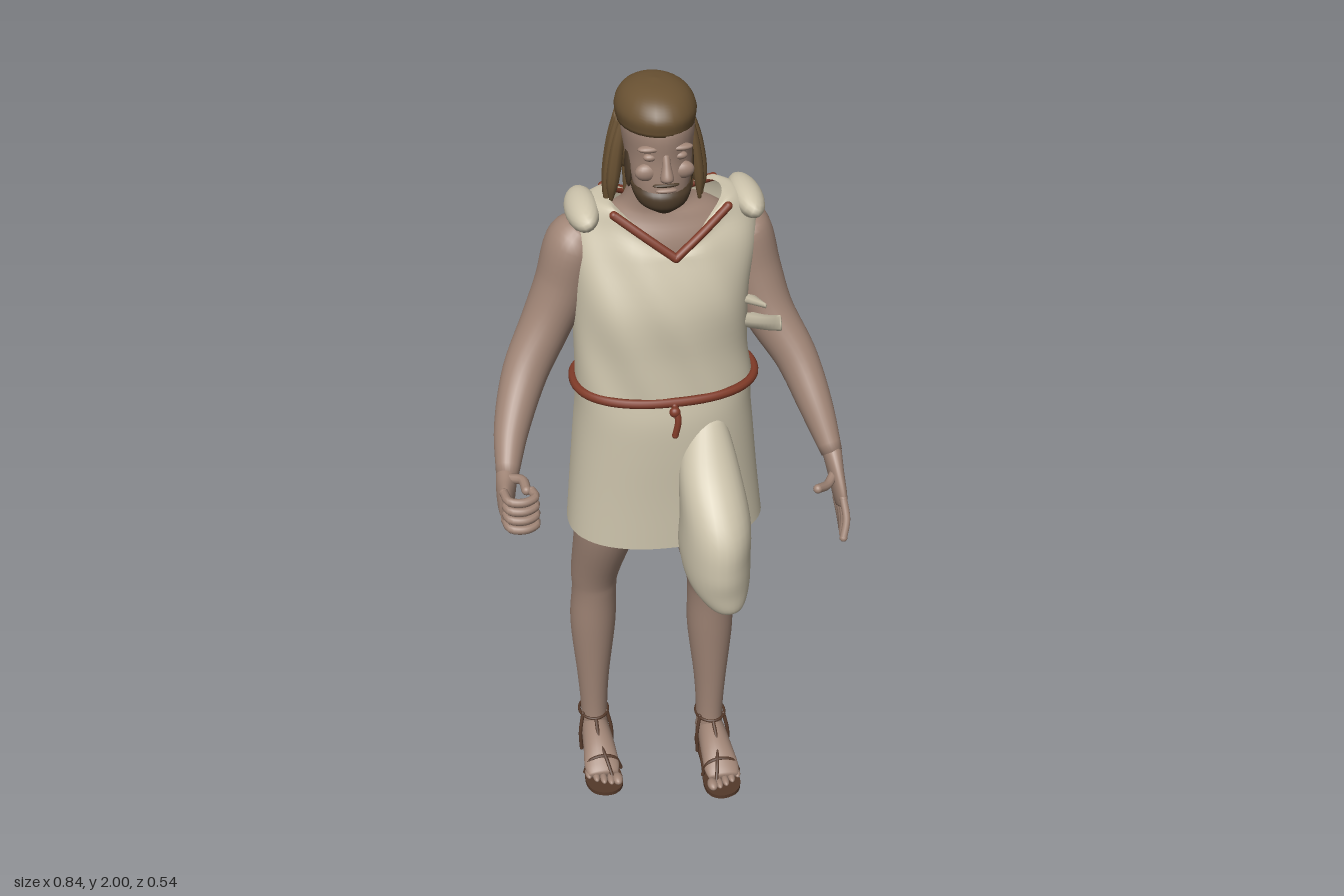
import * as THREE from 'three';

const V = (a) => new THREE.Vector3(a[0], a[1], a[2]);
const mat = (name, color, side = THREE.FrontSide) => {
  const m = new THREE.MeshStandardMaterial({ color, side });
  m.name = name;
  return m;
};

// Smooth skin through rows of [x, y, z, radiusU, radiusV]; flat keeps every ring horizontal.
function sweep(rows, { flat = false, open = false, n = 2, seg = 28, sub = 5, edit = null } = {}) {
  const path = new THREE.CatmullRomCurve3(rows.map(V), false, 'catmullrom', 0.5);
  const radii = new THREE.CatmullRomCurve3(rows.map((r) => new THREE.Vector3(r[3], r[4], 0)), false, 'catmullrom', 0.5);
  const count = (rows.length - 1) * sub, pos = [], idx = [];
  const pw = (c) => Math.sign(c) * Math.abs(c) ** (2 / n);
  for (let i = 0; i <= count; i++) {
    const c = path.getPoint(i / count), r = radii.getPoint(i / count);
    const t = path.getTangent(i / count);
    if (flat) t.set(0, Math.sign(t.y) || 1, 0);
    const u = new THREE.Vector3(1, 0, 0).addScaledVector(t, -t.x).normalize();
    const v = new THREE.Vector3().crossVectors(t, u);
    for (let j = 0; j < seg; j++) {
      const a = (j / seg) * Math.PI * 2;
      const p = c.clone().addScaledVector(u, pw(Math.cos(a)) * Math.max(r.x, 0.001))
        .addScaledVector(v, pw(Math.sin(a)) * Math.max(r.y, 0.001));
      if (edit) edit(p);
      pos.push(p.x, p.y, p.z);
      if (i < count) {
        const k = (j + 1) % seg, b = i * seg;
        idx.push(b + j, b + k, b + seg + j, b + k, b + seg + k, b + seg + j);
      }
    }
  }
  if (!open) {
    const s = pos.length / 3, a = rows[0], z = rows[rows.length - 1], b = count * seg;
    pos.push(a[0], a[1], a[2], z[0], z[1], z[2]);
    for (let j = 0; j < seg; j++) {
      const k = (j + 1) % seg;
      idx.push(s, k, j, s + 1, b + j, b + k);
    }
  }
  const g = new THREE.BufferGeometry();
  g.setAttribute('position', new THREE.Float32BufferAttribute(pos, 3));
  g.setIndex(idx);
  g.computeVertexNormals();
  return g;
}

export function createModel() {
  const root = new THREE.Group();
  const skin = mat('skin', 0xa08576), cloth = mat('cloth', 0xcfc6ae, THREE.DoubleSide);
  const hair = mat('hair', 0x6a5233), beardMat = mat('beard', 0x4d3c2a);
  const trim = mat('trim', 0x803b28), leather = mat('leather', 0x54392a);

  const add = (name, geo, m, parent = root) => {
    const mesh = new THREE.Mesh(geo, m);
    mesh.name = name;
    parent.add(mesh);
    return mesh;
  };
  const group = (name) => {
    const g = new THREE.Group();
    g.name = name;
    root.add(g);
    return g;
  };
  const ball = (name, p, s, m, parent) => {
    const b = add(name, new THREE.SphereGeometry(1, 18, 12), m, parent);
    b.position.set(...p);
    b.scale.set(...s);
    return b;
  };
  // Rounded cord or finger through a few points
  const cord = (name, pts, r, m, parent, closed = false) => {
    add(name, new THREE.TubeGeometry(new THREE.CatmullRomCurve3(pts.map(V), closed), closed ? 72 : 14, r, 10, closed), m, parent);
    if (!closed) for (const p of [pts[0], pts[pts.length - 1]]) ball(name + 'End', p, [r, r, r], m, parent);
  };

  // Neck and upper chest
  add('neckAndChest', sweep([[.02, 1.5, -.1, .17, .11], [.025, 1.62, -.1, .18, .1], [.02, 1.68, -.1, .13, .08],
    [0, 1.715, -.085, .075, .06], [0, 1.78, -.07, .058, .058], [0, 1.84, -.07, .058, .058]], { flat: true }), skin);

  // Head, face and beard
  const head = group('head');
  add('skull', sweep([[0, 1.735, .015, .028, .03], [0, 1.76, 0, .054, .05], [0, 1.8, -.02, .066, .072],
    [0, 1.85, -.05, .075, .1], [0, 1.92, -.06, .08, .112], [0, 1.97, -.06, .05, .07]], { flat: true }), skin, head);
  add('beard', sweep([[0, 1.728, .018, .02, .022], [0, 1.745, .006, .052, .05], [0, 1.768, -.003, .065, .061],
    [0, 1.785, -.022, .068, .07]], { flat: true }), beardMat, head);
  add('nose', sweep([[0, 1.872, .043, .008, .008], [0, 1.845, .052, .01, .012], [0, 1.82, .058, .015, .017],
    [0, 1.81, .054, .012, .01]], { flat: true }), skin, head);
  ball('mouth', [0, 1.787, .05], [.024, .006, .009], skin, head);
  ball('moustache', [0, 1.799, .047], [.03, .005, .009], beardMat, head);
  for (const s of [-1, 1]) {
    ball('brow', [s * .034, 1.882, .037], [.027, .008, .014], skin, head);
    ball('eye', [s * .033, 1.862, .036], [.016, .009, .011], skin, head);
    ball('cheek', [s * .04, 1.825, .03], [.026, .02, .016], skin, head);
    ball('sideburn', [s * .069, 1.815, -.035], [.008, .05, .024], beardMat, head);
  }

  // Hair: cap with straight fringe, back mass and hanging locks
  const hairGroup = group('hair');
  add('hairCap', sweep([[-.003, 1.912, -.063, .085, .116], [-.003, 1.945, -.065, .089, .121], [-.003, 1.975, -.067, .074, .1],
    [-.003, 1.993, -.067, .044, .06], [-.003, 2, -.067, .005, .005]], { flat: true }), hair, hairGroup);
  add('hairBack', sweep([[0, 1.78, -.125, .075, .045], [0, 1.83, -.115, .086, .065], [0, 1.93, -.105, .086, .08]],
    { flat: true }), hair, hairGroup);
  for (let i = 0; i < 17; i++) {
    const a = (-.14 + 1.28 * i / 16) * Math.PI, c = Math.cos(a), s = Math.sin(a);
    const low = 1.70 + .018 * Math.sin(i * 2.4), r = .012 + .003 * Math.sin(i * 1.7);
    add('lock', sweep([[c * .08, 1.91, -.105 - s * .07, .008, .008], [c * .096, 1.84, -.105 - s * .073, r, r],
      [c * .108, 1.76, -.105 - s * .07, r, r], [c * .112, low, -.108 - s * .068, .004, .004]], { seg: 8 }), hair, hairGroup);
  }

  // Sleeveless tunic top, its neckline drawn down to a V in front and behind
  const tunic = group('tunic');
  const neckline = (p) => {
    const w = Math.max(0, (p.y - 1.6) / .115), k = w * Math.max(0, 1 - Math.abs(p.x - .025) / .13);
    const front = p.z > -.105;
    p.y -= (front ? .1 : .08) * k;
    p.z += front ? .045 * k : -.03 * k;
    p.z += .004 * Math.sin(p.x * 45 + p.y * 22);
  };
  add('tunicTop', sweep([[.018, 1.25, -.078, .212, .142], [.01, 1.35, -.08, .205, .142], [.012, 1.48, -.085, .208, .147],
    [.022, 1.6, -.105, .217, .132], [.025, 1.67, -.115, .207, .11], [.025, 1.708, -.11, .17, .1], [.025, 1.715, -.105, .13, .09]],
  { flat: true, open: true, n: 2.3, seg: 64, edit: neckline }), cloth, tunic);
  add('skirt', sweep([[.018, 1.26, -.078, .212, .142], [.018, 1.19, -.09, .212, .163], [.02, 1.1, -.1, .22, .172],
    [.022, .96, -.105, .233, .17], [.025, .83, -.107, .246, .168]], { flat: true, open: true, n: 2.3, seg: 64 }), cloth, tunic);
  add('billowingFold', sweep([[.1, 1.2, .02, .04, .035], [.1, 1.08, .06, .07, .07], [.11, .95, .1, .083, .125],
    [.11, .85, .1, .085, .14], [.115, .78, .13, .075, .1], [.125, .73, .17, .045, .05], [.13, .71, .18, .015, .012]],
  { flat: true }), cloth, tunic);
  // Loose cloth points by the left armhole
  add('loosePoint', sweep([[.215, 1.39, -.05, .03, .02], [.232, 1.435, .05, .016, .018], [.243, 1.485, .145, .003, .018]], { seg: 8 }), cloth, tunic);
  add('loosePoint', sweep([[.205, 1.45, -.05, .025, .012], [.225, 1.49, .07, .004, .006]], { seg: 8 }), cloth, tunic);
  for (const [x, s] of [[-.165, -1], [.215, 1]]) {
    ball('shoulderStrap', [x, 1.685, -.105], [.04, .034, .1], cloth, tunic).rotation.z = -s * .5;
  }

  // Neckline binding and belt
  const binding = group('binding');
  for (const s of [-1, 1]) {
    const x = (d) => .025 + s * d;
    cord('frontBinding', [[x(0), 1.612, .036], [x(.065), 1.658, .012], [x(.13), 1.702, -.022]], .01, trim, binding);
    cord('backBinding', [[x(0), 1.632, -.226], [x(.065), 1.668, -.212], [x(.13), 1.7, -.183]], .01, trim, binding);
  }
  const ring = [];
  for (let i = 0; i < 40; i++) {
    const a = i / 40 * Math.PI * 2, f = (c) => Math.sign(c) * Math.abs(c) ** (2 / 2.3);
    ring.push([.018 + .217 * f(Math.cos(a)), 1.255, -.078 + .147 * f(Math.sin(a))]);
  }
  cord('belt', ring, .011, trim, binding, true);
  cord('beltTail', [[.015, 1.25, .075], [.022, 1.215, .085], [.015, 1.175, .086]], .008, trim, binding);
  ball('beltKnot', [.015, 1.235, .08], [.013, .013, .011], trim, binding);

  // Arms
  add('leftArm', sweep([[.19, 1.645, -.115, .04, .05], [.212, 1.6, -.117, .065, .077], [.235, 1.5, -.1, .066, .073],
    [.268, 1.4, -.068, .06, .066], [.325, 1.3, -.01, .05, .055], [.36, 1.2, .062, .04, .044],
    [.385, 1.11, .13, .025, .028]]), skin);
  add('rightArm', sweep([[-.16, 1.645, -.11, .04, .05], [-.185, 1.6, -.112, .065, .077], [-.212, 1.5, -.112, .066, .073],
    [-.258, 1.4, -.1, .06, .066], [-.315, 1.3, -.06, .054, .055], [-.36, 1.2, .015, .042, .044],
    [-.385, 1.12, .1, .026, .028]]), skin);

  // Open left hand
  const leftHand = group('leftHand');
  add('palm', sweep([[.385, 1.12, .122, .024, .028], [.39, 1.07, .155, .018, .036], [.395, 1.025, .18, .015, .04],
    [.397, 1, .19, .011, .034]]), skin, leftHand);
  for (let i = 0; i < 4; i++) {
    const s = i / 1.5 - 1;
    cord('finger', [[.395, 1.015 + s * .016, .183 + s * .028], [.402 - s * .004, .97 + s * .018, .195 + s * .042],
      [.402 - s * .014, .928 + s * .02, .2 + s * .055]], .0095, skin, leftHand);
  }
  cord('thumb', [[.385, 1.075, .16], [.36, 1.065, .195], [.328, 1.075, .223]], .011, skin, leftHand);

  // Curled right hand
  const rightHand = group('rightHand');
  add('palm', sweep([[-.385, 1.125, .09, .025, .027], [-.392, 1.105, .13, .023, .036], [-.398, 1.095, .17, .019, .042],
    [-.4, 1.092, .195, .015, .038]]), skin, rightHand);
  for (let i = 0; i < 4; i++) {
    const y = 1.055 + i * .025;
    cord('finger', [[-.402, y, .18], [-.393, y - .003, .215], [-.36, y - .005, .222], [-.333, y - .004, .205],
      [-.338, y - .002, .182]], .0105, skin, rightHand);
  }
  cord('thumb', [[-.38, 1.13, .125], [-.355, 1.135, .145], [-.35, 1.13, .18]], .0115, skin, rightHand);

  // Legs, feet and sandals; the right leg stands further back
  for (const s of [-1, 1]) {
    const side = s > 0 ? 'left' : 'right', back = s > 0 ? 0 : -.07;
    add(side + 'Leg', sweep([[.12, .95, -.085, .082, .1], [.122, .8, -.085, .08, .093], [.145, .62, -.105, .063, .074],
      [.148, .55, -.115, .058, .067], [.152, .43, -.125, .06, .066], [.155, .25, -.125, .043, .05],
      [.155, .13, -.125, .036, .043], [.155, .05, -.122, .037, .045]]
      .map(([x, y, z, a, b]) => [s * x, y, z + back * (y > .75 ? .55 : 1), a, b]), { flat: true }), skin);
    const foot = group(side + 'Foot');
    foot.position.set(s * .157, 0, back);
    add('foot', sweep([[0, .048, -.172, .015, .015], [0, .053, -.155, .034, .032], [0, .065, -.1, .038, .045],
      [0, .058, -.035, .043, .038], [s * .002, .042, .025, .047, .023], [s * .002, .033, .055, .04, .013]]), skin, foot);
    for (let i = 0; i < 5; i++) {
      const r = i ? .0095 : .014;
      ball('toe', [s * (-.033 + i * .0185), .031, .074 - i * i * .0022], [r, r * .9, .022], skin, foot);
    }
    // Sole outline, wider at the ball of the foot
    const outline = new THREE.Shape();
    outline.setFromPoints(new THREE.SplineCurve([[0, .175], [.036, .15], [.036, .06], [.05, -.04], [.03, -.09], [-.02, -.1],
      [-.05, -.06], [-.04, .05], [-.036, .15], [0, .175]].map(([x, y]) => new THREE.Vector2(x * s, y))).getPoints(48));
    const sole = add('sole', new THREE.ExtrudeGeometry(outline, { depth: .011, bevelEnabled: false }), leather, foot);
    sole.rotation.x = -Math.PI / 2;
    // Straps
    cord('toeStrap', [[-.049, .02, .02], [-.035, .058, .02], [0, .07, .02], [.035, .058, .02], [.051, .02, .02]], .005, leather, foot);
    cord('thong', [[s * -.02, .035, .065], [s * -.012, .062, .035], [0, .09, -.03], [0, .118, -.078]], .005, leather, foot);
    for (const k of [-1, 1]) cord('sideStrap', [[k * .042, .012, -.085], [k * .043, .07, -.088], [k * .033, .125, -.1]], .005, leather, foot);
    const ankle = [];
    for (let i = 0; i < 12; i++) ankle.push([.039 * Math.cos(i * Math.PI / 6), .12, -.124 + .047 * Math.sin(i * Math.PI / 6)]);
    cord('ankleStrap', ankle, .004, leather, foot, true);
  }
  return root;
}
